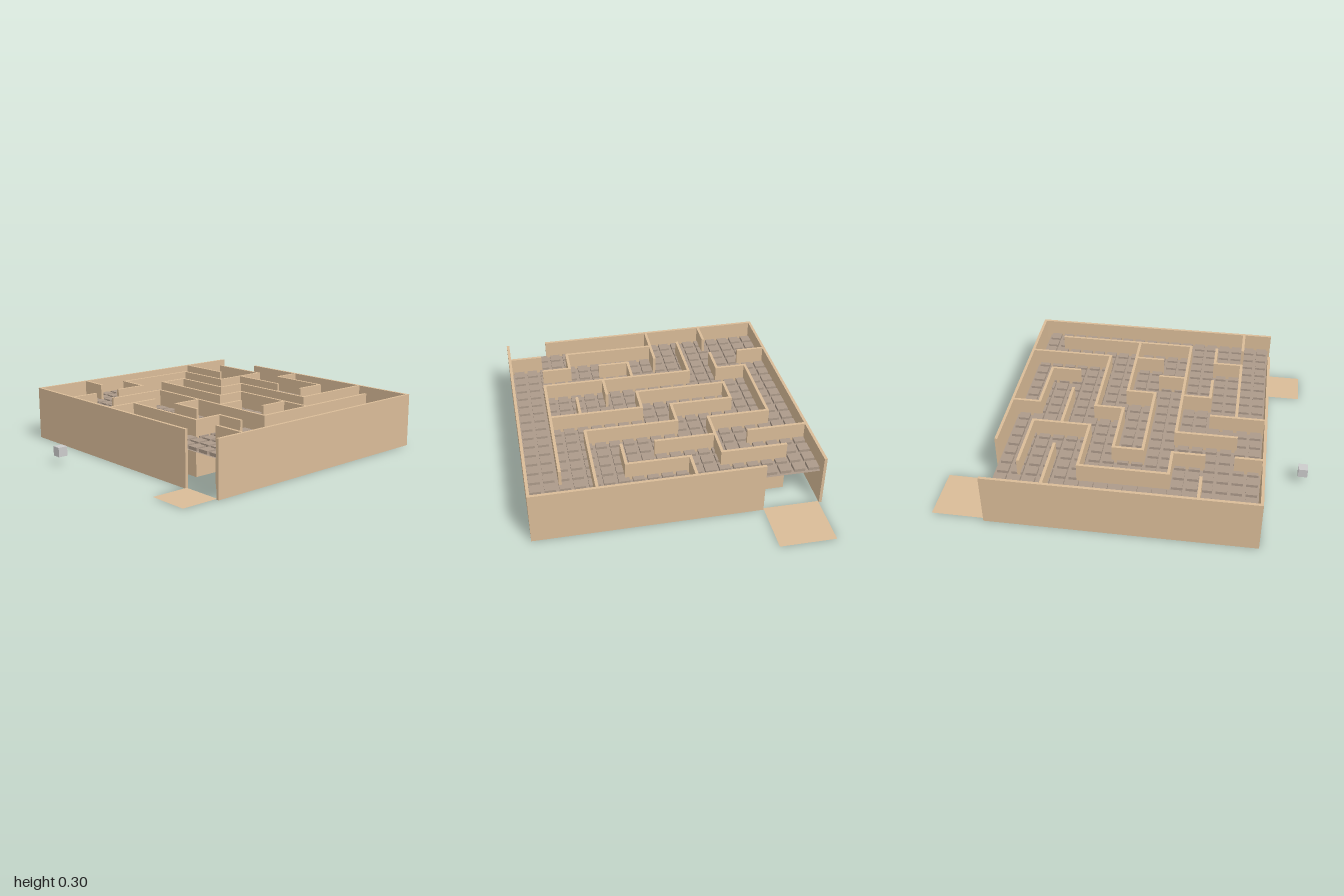
import * as THREE from 'three';
import { mergeGeometries } from 'three/addons/utils/BufferGeometryUtils.js';

const HEIGHT = 0.3;
const THICK = 0.016;
const wallMat = new THREE.MeshStandardMaterial({ color: 0xdabc98 });
const floorMat = new THREE.MeshStandardMaterial({ color: 0xac9a8a, side: THREE.DoubleSide });
const flapMat = new THREE.MeshStandardMaterial({ color: 0xdabc98, side: THREE.DoubleSide });
const greyMat = new THREE.MeshStandardMaterial({ color: 0xcccccc });

// upright wall panel between two ground points
function wallGeometry(x1, z1, x2, z2) {
  const dx = x2 - x1, dz = z2 - z1;
  const g = new THREE.BoxGeometry(Math.hypot(dx, dz) + THICK, HEIGHT, THICK);
  g.rotateY(-Math.atan2(dz, dx));
  g.translate((x1 + x2) / 2, HEIGHT / 2, (z1 + z2) / 2);
  return g;
}

// one wall run: a list of [x, z] corners joined by panels
function wallRun(points) {
  const parts = [];
  for (let i = 1; i < points.length; i++) parts.push(wallGeometry(...points[i - 1], ...points[i]));
  return mergeGeometries(parts);
}

function flatPanel(x1, x2, z1, z2, y, material, name) {
  const g = new THREE.PlaneGeometry(x2 - x1, z2 - z1);
  g.rotateX(-Math.PI / 2);
  g.translate((x1 + x2) / 2, y, (z1 + z2) / 2);
  const mesh = new THREE.Mesh(g, material);
  mesh.name = name;
  return mesh;
}

export function createModel() {
  const model = new THREE.Group();
  model.name = 'maze';
  const add = (geometry, material, name, parent = model) => {
    const mesh = new THREE.Mesh(geometry, material);
    mesh.name = name;
    parent.add(mesh);
    return mesh;
  };

  // outer walls, with a doorway at two opposite corners
  const outer = new THREE.Group();
  outer.name = 'outerWalls';
  model.add(outer);
  add(wallRun([[-0.745, -0.782], [0.7, -0.79]]), wallMat, 'backWall', outer);
  add(wallRun([[-0.74, 0.785], [0.705, 0.775]]), wallMat, 'frontWall', outer);
  add(wallRun([[0.702, -0.46], [0.708, 0.775]]), wallMat, 'leftWall', outer);
  add(wallRun([[-0.75, -0.782], [-0.742, 0.545]]), wallMat, 'rightWall', outer);

  // inner maze walls
  const inner = new THREE.Group();
  inner.name = 'innerWalls';
  model.add(inner);
  const runs = [
    [[-0.43, -0.78], [-0.43, -0.62]],
    [[-0.74, -0.435], [-0.6, -0.435]],
    [[-0.43, -0.44], [-0.26, -0.44], [-0.26, -0.615], [0.22, -0.615], [0.22, -0.27], [0.54, -0.27], [0.54, -0.62]],
    [[0.38, -0.78], [0.38, -0.46]],
    [[0.38, -0.27], [0.38, 0.06]],
    [[-0.1, 0.08], [-0.1, -0.44], [0.06, -0.44], [0.06, -0.09], [0.22, -0.09], [0.22, 0.425], [0.7, 0.425]],
    [[-0.1, 0.08], [0.06, 0.08], [0.06, 0.6]],
    [[-0.1, 0.43], [0.06, 0.43]],
    [[-0.59, -0.265], [-0.26, -0.265], [-0.26, 0.6], [0.54, 0.6]],
    [[-0.26, 0.255], [-0.11, 0.255]],
    [[-0.74, -0.09], [-0.44, -0.09]],
    [[-0.58, -0.09], [-0.58, 0.435], [-0.42, 0.435], [-0.42, 0.59]],
    [[-0.26, 0.08], [-0.42, 0.08], [-0.42, 0.25]],
    [[-0.58, 0.6], [-0.58, 0.78]],
    [[0.7, -0.095], [0.545, -0.095], [0.545, 0.25], [0.38, 0.25]],
  ];
  for (const run of runs) add(wallRun(run), wallMat, 'innerWall', inner);

  // raised floor with an even grid of square tiles
  model.add(flatPanel(-0.735, 0.675, -0.78, 0.775, 0.196, floorMat, 'floor'));
  const tiles = [];
  const pitch = 0.078;
  for (let col = 0; col < 18; col++) {
    for (let row = 0; row < 20; row++) {
      const tile = new THREE.BoxGeometry(0.06, 0.017, 0.06);
      tile.translate(-0.695 + col * pitch, 0.205, -0.748 + row * pitch);
      tiles.push(tile);
    }
  }
  add(mergeGeometries(tiles), floorMat, 'floorTiles');

  // flat landings outside the two doorways
  model.add(flatPanel(0.7, 1, -0.78, -0.47, 0.002, flapMat, 'leftLanding'));
  model.add(flatPanel(-0.95, -0.74, 0.55, 0.775, 0.002, flapMat, 'rightLanding'));

  // small loose cube beside the maze
  add(new THREE.BoxGeometry(0.052, 0.052, 0.052), greyMat, 'looseCube').position.set(-0.974, 0.073, -0.222);

  return model;
}
